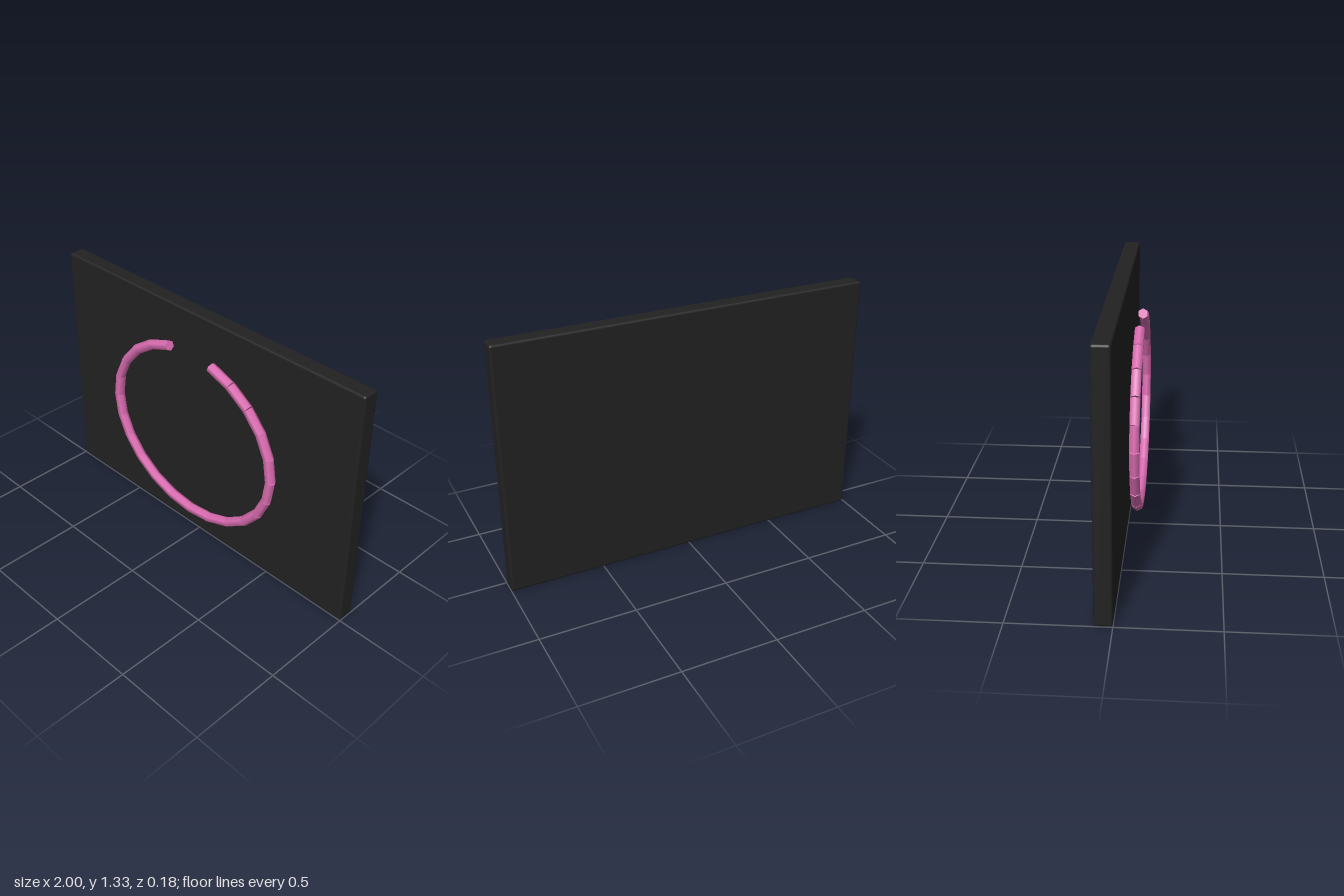
import * as THREE from 'three';
import { RoundedBoxGeometry } from 'three/addons/geometries/RoundedBoxGeometry.js';

const RX = 0.555, RY = 0.487, CY = 0.669, RING_Z = 0.067, TUBE = 0.027;

// Point on the oval at a step of 15 degrees
function ovalPoint(step) {
  const a = (step * Math.PI) / 12;
  return new THREE.Vector3(RX * Math.cos(a), CY + RY * Math.sin(a), RING_Z);
}

export function createModel() {
  const model = new THREE.Group();
  const panelMat = new THREE.MeshStandardMaterial({ color: 0x222222 });
  panelMat.name = 'charcoal';
  const tubeMat = new THREE.MeshStandardMaterial({ color: 0xde6eb4 });
  tubeMat.name = 'pink';

  // Backing board with softened edges
  const panel = new THREE.Mesh(new RoundedBoxGeometry(2, 1.333, 0.089, 2, 0.012), panelMat);
  panel.name = 'backPanel';
  panel.position.set(0, 0.6665, -0.0445);
  model.add(panel);

  // Open oval of straight six-sided tubes, with a gap of two steps at the top
  const ring = new THREE.Group();
  ring.name = 'tubeRing';
  for (let step = 7; step < 29; step++) {
    const a = ovalPoint(step), b = ovalPoint(step + 1);
    const geo = new THREE.CylinderGeometry(TUBE, TUBE, a.distanceTo(b), 6, 1, false, Math.PI / 6);
    const tube = new THREE.Mesh(geo, tubeMat);
    tube.name = 'tubeSegment';
    tube.position.copy(a).lerp(b, 0.5);
    tube.rotation.z = Math.atan2(b.y - a.y, b.x - a.x) - Math.PI / 2;
    ring.add(tube);
  }
  model.add(ring);
  return model;
}
